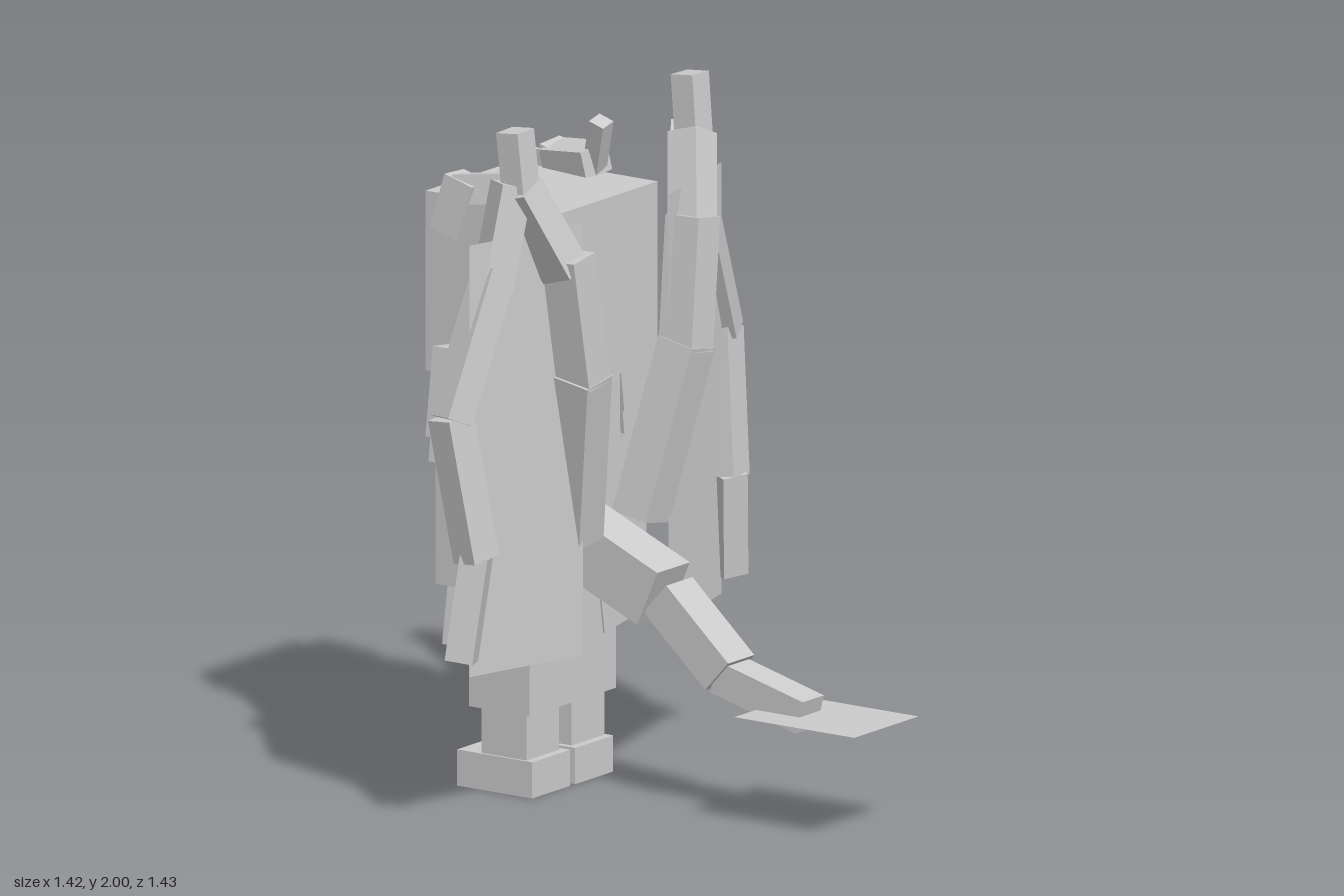
import * as THREE from 'three';

const grey = new THREE.MeshStandardMaterial({ color: 0xcccccc, flatShading: true });
const thin = new THREE.MeshStandardMaterial({ color: 0xcccccc, flatShading: true, side: THREE.DoubleSide });
const UP = new THREE.Vector3(0, 1, 0);

// Upright box given by its extents
function block(parent, name, [x0, x1], [y0, y1], [z0, z1]) {
  const mesh = new THREE.Mesh(new THREE.BoxGeometry(x1 - x0, y1 - y0, z1 - z0), grey);
  mesh.position.set((x0 + x1) / 2, (y0 + y1) / 2, (z0 + z1) / 2);
  mesh.name = name;
  parent.add(mesh);
  return mesh;
}

// Box whose long axis runs from a to b
function beam(parent, name, a, b, width, depth) {
  const from = new THREE.Vector3(...a), to = new THREE.Vector3(...b);
  const dir = to.clone().sub(from);
  const mesh = new THREE.Mesh(new THREE.BoxGeometry(width, dir.length(), depth), grey);
  mesh.position.copy(from).add(to).multiplyScalar(0.5);
  mesh.quaternion.setFromUnitVectors(UP, dir.normalize());
  mesh.name = name;
  parent.add(mesh);
  return mesh;
}

// Flat sheet of zero thickness
function sheet(parent, name, width, height, position, rotation) {
  const mesh = new THREE.Mesh(new THREE.PlaneGeometry(width, height), thin);
  mesh.position.set(...position);
  mesh.rotation.set(...rotation);
  mesh.name = name;
  parent.add(mesh);
}

function buildSide(s) {
  const side = new THREE.Group();
  side.name = s > 0 ? 'leftSide' : 'rightSide';
  const m = ([x, y, z]) => [s * x, y, z];
  const sx = (a, b) => (s > 0 ? [a, b] : [-b, -a]);
  const limb = (name, a, b, w, d) => beam(side, name, m(a), m(b), w, d);

  // Leg and foot
  block(side, 'leg', sx(0.03, 0.188), [0.1, 0.25], [-0.555, -0.4]);
  block(side, 'foot', sx(0.012, 0.195), [0, 0.105], [-0.635, -0.375]);

  // Coat flap, flaring outwards
  limb('coatFlap', [0.228, 0.425, -0.487], [0.13, 1.04, -0.487], 0.165, 0.235);

  // Arm: sleeve, cuff and forearm
  limb('sleeve', [0.315, 1.045, -0.487], [0.28, 1.3, -0.487], 0.15, 0.235);
  limb('cuff', [0.322, 0.975, -0.487], [0.311, 1.06, -0.487], 0.135, 0.215);
  block(side, 'forearm', sx(0.258, 0.378), [0.63, 1.02], [-0.578, -0.392]);

  // Curled horn: front stub, ridge over the head, upright tip
  limb('hornFront', [0.24, 1.615, -0.617], [0.23, 1.775, -0.572], 0.095, 0.1);
  limb('hornRidge', [0.225, 1.74, -0.6], [0.197, 1.76, -0.435], 0.105, 0.085);
  limb('hornTip', [0.215, 1.73, -0.455], [0.172, 1.885, -0.4], 0.05, 0.05);

  // Wing bones, from the back up to the claw
  limb('wingRoot', [0.16, 0.765, -0.255], [0.25, 1.265, -0.16], 0.118, 0.12);
  limb('wingUpperArm', [0.245, 1.24, -0.16], [0.3, 1.62, -0.175], 0.105, 0.115);
  limb('wingForearm', [0.305, 1.575, -0.18], [0.415, 1.825, -0.26], 0.1, 0.1);
  limb('wingClaw', [0.415, 1.82, -0.255], [0.42, 1.995, -0.272], 0.08, 0.075);

  // Wing finger, hanging down in joined lengths
  limb('fingerTop', [0.425, 1.84, -0.28], [0.49, 1.55, -0.3], 0.09, 0.1);
  limb('fingerUpper', [0.485, 1.6, -0.295], [0.655, 1.195, -0.327], 0.085, 0.1);
  limb('fingerMiddle', [0.652, 1.205, -0.327], [0.605, 0.79, -0.272], 0.085, 0.1);
  limb('fingerTip', [0.605, 0.8, -0.272], [0.643, 0.5, -0.297], 0.08, 0.08);

  // Wing membrane, swept towards the front of the body at its outer edge
  sheet(side, 'wingMembrane', Math.hypot(0.4, 0.105), 1.25,
    m([0.405, 1.07, -0.243]), [0, s * Math.atan2(0.105, 0.4), 0]);
  return side;
}

export function createModel() {
  const model = new THREE.Group();
  model.name = 'wingedFigure';

  // Head, chest, collar and coat
  block(model, 'head', [-0.235, 0.235], [1.2, 1.72], [-0.715, -0.25]);
  block(model, 'chest', [-0.205, 0.205], [0.89, 1.22], [-0.608, -0.37]);
  block(model, 'backYoke', [-0.2, 0.2], [1.0, 1.22], [-0.4, -0.355]);
  beam(model, 'collar', [0, 1.025, -0.6], [0, 1.22, -0.56], 0.34, 0.09);
  block(model, 'coatSkirt', [-0.208, 0.208], [0.24, 0.9], [-0.585, -0.375]);

  // Tail in three lengths, with a flat fin at the end
  const tail = new THREE.Group();
  tail.name = 'tail';
  beam(tail, 'tailBase', [0, 0.73, -0.36], [0, 0.6, -0.06], 0.156, 0.175);
  beam(tail, 'tailMiddle', [0, 0.6, -0.045], [0, 0.405, 0.17], 0.126, 0.118);
  beam(tail, 'tailEnd', [0, 0.4, 0.15], [0, 0.323, 0.447], 0.102, 0.098);
  sheet(tail, 'tailFin', 0.31, 0.415, [0, 0.325, 0.505], [-Math.PI / 2, 0, 0]);
  model.add(tail);

  // Limbs, horns and wings, mirrored
  for (const s of [1, -1]) model.add(buildSide(s));
  return model;
}
